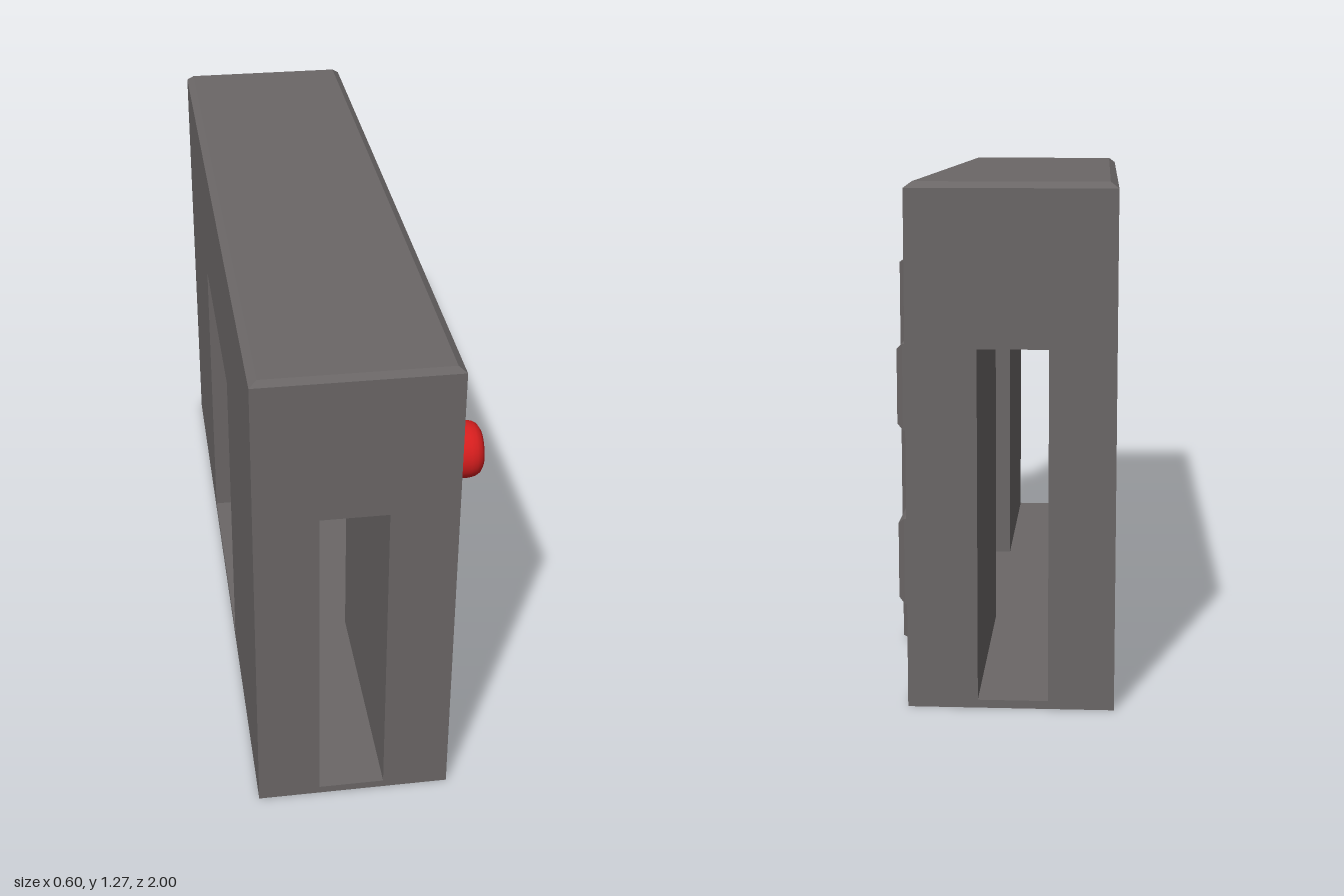
import * as THREE from 'three';
import { toCreasedNormals } from 'three/addons/utils/BufferGeometryUtils.js';

const grey = new THREE.MeshStandardMaterial({ color: 0x6b6767 });
const red = new THREE.MeshStandardMaterial({ color: 0xd81e1e });

// Flat-faced skin through rings of points (counter-clockwise seen from the end of the loft)
function loft(rings, { capStart = false, capEnd = false, closed = true } = {}) {
  const pos = [];
  const tri = (a, b, c) => pos.push(...a, ...b, ...c);
  const n = rings[0].length;
  for (let i = 0; i < rings.length - 1; i++) {
    for (let j = 0; j < (closed ? n : n - 1); j++) {
      const k = (j + 1) % n;
      tri(rings[i][j], rings[i][k], rings[i + 1][k]);
      tri(rings[i][j], rings[i + 1][k], rings[i + 1][j]);
    }
  }
  const first = rings[0], last = rings[rings.length - 1];
  for (let j = 1; j < n - 1; j++) {
    if (capStart) tri(first[0], first[j + 1], first[j]);
    if (capEnd) tri(last[0], last[j], last[j + 1]);
  }
  const geo = new THREE.BufferGeometry();
  geo.setAttribute('position', new THREE.Float32BufferAttribute(pos, 3));
  geo.computeVertexNormals();
  return geo;
}

// Rectangular rings, level (at height y) and upright (at depth x)
const levelRing = (x0, x1, z0, z1, y) => [[x0, y, z1], [x1, y, z1], [x1, y, z0], [x0, y, z0]];
const uprightRing = (y0, y1, z0, z1, x) => [[x, y0, z1], [x, y0, z0], [x, y1, z0], [x, y1, z1]];

export function createModel() {
  const group = new THREE.Group();
  const add = (name, geo, mat = grey) => {
    const mesh = new THREE.Mesh(geo, mat);
    mesh.name = name;
    group.add(mesh);
    return mesh;
  };

  const X0 = -0.3, X1 = 0.2, Z = 1;                 // body footprint
  const floorY = 0.02, ceilY = 0.88, topY = 1.27;   // levels
  const cx0 = -0.14, cx1 = 0.03, cz = 0.335;        // crossing passages

  // Floor slab edge and underside
  add('floorSlab', loft([
    levelRing(X0, X1, -Z, Z, 0),
    levelRing(X0, X1, -Z, Z, floorY),
  ], { capStart: true }));

  // Four corner blocks between the passages
  for (const [x0, x1] of [[X0, cx0], [cx1, X1]]) {
    for (const [z0, z1] of [[-Z, -cz], [cz, Z]]) {
      add('cornerBlock', loft([
        levelRing(x0, x1, z0, z1, floorY),
        levelRing(x0, x1, z0, z1, ceilY),
      ]));
    }
  }

  // Upper block with chamfered roof edge
  add('upperBlock', loft([
    levelRing(X0, X1, -Z, Z, ceilY),
    levelRing(X0, X1, -Z, Z, topY - 0.015),
    levelRing(X0 + 0.02, X1 - 0.02, -Z + 0.012, Z - 0.012, topY),
  ], { capEnd: true }));

  // Cross-shaped floor and ceiling of the passages
  const cross = new THREE.Shape([
    [cx0, -Z], [cx1, -Z], [cx1, -cz], [X1, -cz], [X1, cz], [cx1, cz],
    [cx1, Z], [cx0, Z], [cx0, cz], [X0, cz], [X0, -cz], [cx0, -cz],
  ].map(([x, z]) => new THREE.Vector2(x, z)));
  add('passageFloor', new THREE.ShapeGeometry(cross).rotateX(-Math.PI / 2).translate(0, floorY, 0));
  add('passageCeiling', new THREE.ShapeGeometry(cross).rotateX(Math.PI / 2).translate(0, ceilY, 0));

  // Door frame: chamfered section [x, half width, top] swept up, across and down
  const section = [
    [0.2, 0.545, 1.05], [0.25, 0.545, 1.05], [0.27, 0.52, 1.04],
    [0.27, 0.358, 0.905], [0.24, cz, ceilY], [0.2, cz, ceilY],
  ];
  const station = (side, foot) => section.map(([x, w, top]) => [x, foot ? floorY : top, side * w]);
  add('doorFrame', loft(
    [station(1, true), station(1, false), station(-1, false), station(-1, true)],
    { capStart: true, capEnd: true, closed: false },
  ));

  // Raised wall panels: y range, z range, thickness
  const panels = [
    [0.02, 0.235, 0.58, 0.93, 0.009],
    [0.45, 0.665, 0.58, 0.93, 0.015],
    [0.235, 0.45, -0.925, -0.67, 0.03],
    [0.67, 0.88, -0.925, -0.67, 0.03],
  ];
  for (const [y0, y1, z0, z1, t] of panels) {
    const c = 0.014;
    add('wallPanel', loft([
      uprightRing(y0, y1, z0, z1, X1),
      uprightRing(y0, y1, z0, z1, X1 + t * 0.5),
      uprightRing(y0 + c, y1 - c, z0 + c, z1 - c, X1 + t),
    ], { capEnd: true }));
  }

  // Red push button with rounded rim
  const profile = [[0.073, 0], [0.073, 0.065], [0.07, 0.08], [0.063, 0.092], [0.05, 0.1], [0, 0.1]]
    .map(([r, y]) => new THREE.Vector2(r, y));
  const button = add('button', toCreasedNormals(new THREE.LatheGeometry(profile, 32), 0.6), red);
  button.rotation.z = -Math.PI / 2;
  button.position.set(X1, 0.895, 0.765);

  return group;
}
